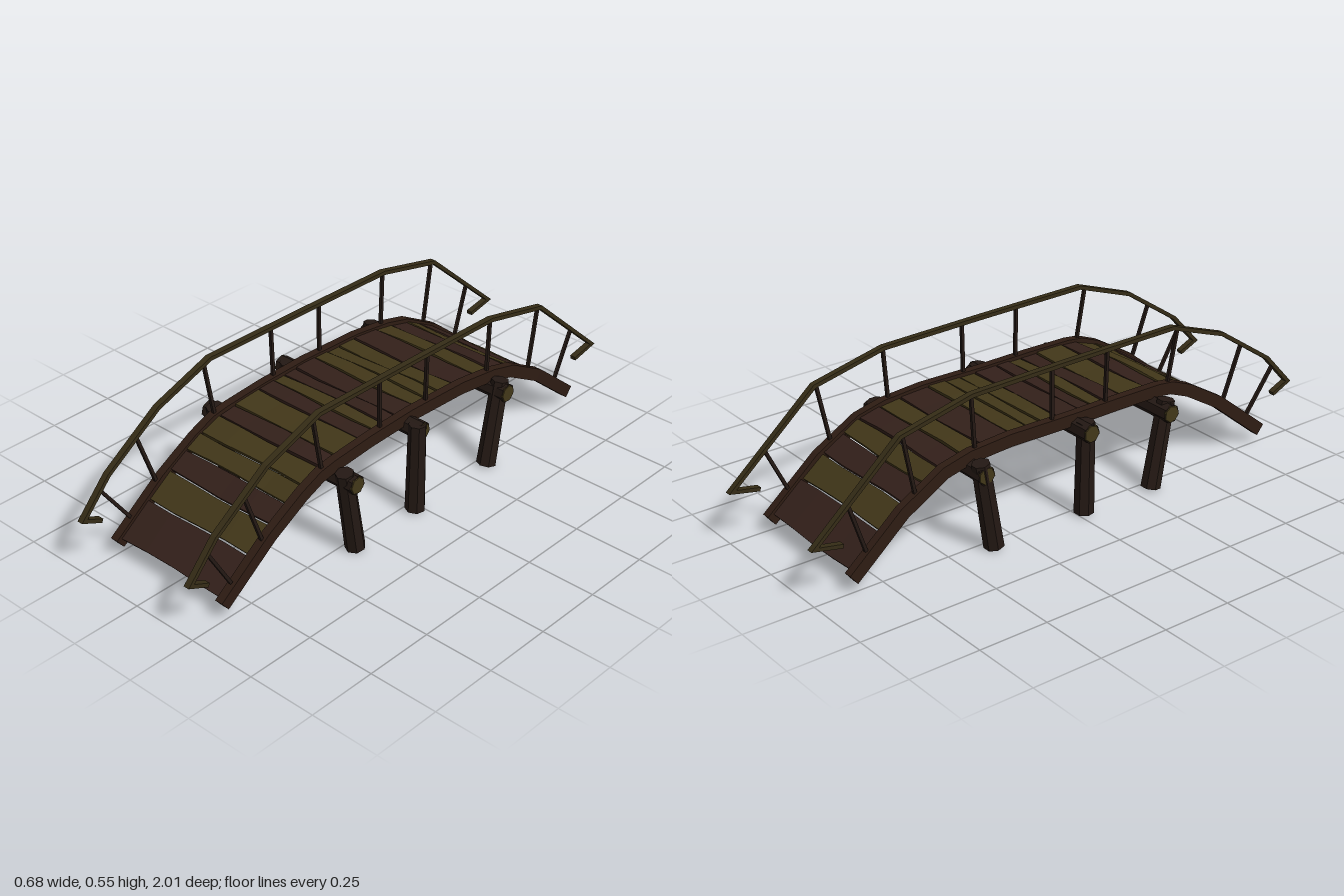
import * as THREE from 'three';

const paint = (color) => new THREE.MeshStandardMaterial({ color, flatShading: true, roughness: 1 });
const BROWN = paint(0x33201a), OLIVE = paint(0x423719), DARK = paint(0x241914), RAIL = paint(0x352c16), BEAM = paint(0x2e1c13);

// arch of the deck as [z, y], front end to back end
const ARCH = [[0.86, 0.045], [0.66, 0.205], [0.52, 0.288], [0.44, 0.32], [0.38, 0.328], [0.2, 0.334], [0, 0.335],
  [-0.25, 0.333], [-0.4, 0.318], [-0.5, 0.293], [-0.66, 0.205], [-0.86, 0.045]];
const HANDRAIL = [[0.92, 0.16], [0.99, 0.192], [0.88, 0.31], [0.66, 0.457], [0.43, 0.538], [0, 0.534],
  [-0.4, 0.527], [-0.67, 0.466], [-0.99, 0.188], [-0.89, 0.168]];
// balusters as [top z, top y, bottom z, bottom y]
const BALUSTERS = [[0.915, 0.27, 0.81, 0.11], [0.755, 0.393, 0.69, 0.2], [0.455, 0.53, 0.43, 0.34], [0.15, 0.535, 0.145, 0.345],
  [-0.08, 0.533, -0.08, 0.345], [-0.4, 0.525, -0.38, 0.335], [-0.66, 0.465, -0.61, 0.25], [-0.865, 0.3, -0.79, 0.12]];

const sway = (z) => -0.008 * Math.cos(2 * Math.PI * z);

function archY(z) {
  for (let i = 1; i < ARCH.length; i++) {
    const [za, ya] = ARCH[i - 1], [zb, yb] = ARCH[i];
    if (z >= zb || i === ARCH.length - 1) return ya + (yb - ya) * (z - za) / (zb - za);
  }
}

function add(group, name, geometry, material) {
  const mesh = new THREE.Mesh(geometry, material);
  mesh.name = name;
  group.add(mesh);
  return mesh;
}

// rectangular bar swept along [z, y] points with mitred corners
function sweptBar(points, xAt, width, height) {
  const pos = [], index = [];
  const n = points.length;
  const dir = (i) => new THREE.Vector2(points[i + 1][0] - points[i][0], points[i + 1][1] - points[i][1]).normalize();
  points.forEach(([z, y], i) => {
    const a = dir(Math.max(i - 1, 0)), b = dir(Math.min(i, n - 2));
    const t = a.clone().add(b).normalize();
    const h = height / 2 / Math.max(t.dot(a), 0.5);
    const nz = t.y * h, ny = -t.x * h;
    const x = xAt(z), w = width / 2;
    pos.push(x - w, y - ny, z - nz, x + w, y - ny, z - nz, x + w, y + ny, z + nz, x - w, y + ny, z + nz);
    if (i === n - 1) return;
    for (let k = 0; k < 4; k++) {
      const p = i * 4 + k, q = i * 4 + (k + 1) % 4;
      index.push(p, p + 4, q, q, p + 4, q + 4);
    }
  });
  const e = (n - 1) * 4;
  index.push(0, 1, 2, 0, 2, 3, e, e + 2, e + 1, e, e + 3, e + 2);
  const g = new THREE.BufferGeometry();
  g.setAttribute('position', new THREE.Float32BufferAttribute(pos, 3));
  g.setIndex(index);
  g.computeVertexNormals();
  return g;
}

// straight member between two points
function strut(group, name, from, to, geometryFor, material) {
  const d = to.clone().sub(from);
  const mesh = add(group, name, geometryFor(d.length()), material);
  mesh.position.copy(from).addScaledVector(d, 0.5);
  mesh.quaternion.setFromUnitVectors(new THREE.Vector3(0, 1, 0), d.normalize());
  return mesh;
}

// plank with gently warped edges
function plankGeometry(length, seed) {
  const g = new THREE.BoxGeometry(0.462, 0.014, length, 4, 1, 1);
  const p = g.attributes.position;
  for (let i = 0; i < p.count; i++) {
    const x = p.getX(i), side = Math.sign(p.getZ(i));
    p.setZ(i, p.getZ(i) + 0.003 * Math.sin(x * 13 + seed * 2.1 + side));
    p.setY(i, p.getY(i) + 0.003 * Math.sin(x * 11 + seed * 1.7));
  }
  g.computeVertexNormals();
  return g;
}

export function createModel() {
  const bridge = new THREE.Group();
  bridge.name = 'footbridge';

  // deck planks
  const deck = new THREE.Group();
  deck.name = 'deck';
  bridge.add(deck);
  const edges = [-0.85, -0.73, -0.645, -0.565, -0.5, -0.42, -0.345, -0.23, -0.16, -0.105, -0.04,
    0.05, 0.105, 0.16, 0.23, 0.345, 0.42, 0.5, 0.565, 0.64, 0.73, 0.85];
  const tones = 'bobobobooobboboboobob';
  for (let i = 0; i < edges.length - 1; i++) {
    const z0 = edges[i], z1 = edges[i + 1], y0 = archY(z0), y1 = archY(z1), z = (z0 + z1) / 2;
    const plank = add(deck, 'plank', plankGeometry(Math.hypot(z1 - z0, y1 - y0) - 0.006, i), tones[i] === 'b' ? BROWN : OLIVE);
    plank.position.set(sway(z) * 0.7, (y0 + y1) / 2 + 0.004, z);
    plank.rotation.x = -Math.atan2(y1 - y0, z1 - z0);
  }

  // side beams, handrails and balusters
  for (const side of [-1, 1]) {
    const label = side > 0 ? 'left' : 'right';
    const beamX = (z) => side * 0.24 + sway(z);
    const railX = side > 0 ? 0.237 : -0.246;
    const lift = side > 0 ? 0 : 0.005;
    add(bridge, label + 'Beam', sweptBar(ARCH, beamX, 0.03, 0.044), BEAM);
    add(bridge, label + 'Handrail', sweptBar(HANDRAIL.map(([z, y]) => [z, y + lift]), () => railX, 0.022, 0.014), RAIL);
    BALUSTERS.forEach(([tz, ty, bz, by], i) => {
      const shift = i === 0 || i === 7 ? side * 0.012 : 0;
      strut(bridge, label + 'Baluster', new THREE.Vector3(beamX(bz), by, bz + shift), new THREE.Vector3(railX, ty + lift, tz),
        (l) => new THREE.BoxGeometry(0.011, l, 0.011), DARK);
    });
  }

  // log trestles: a crossbar on two posts
  const trestles = [
    { topZ: 0.372, footZ: 0.318, top: 0.315, barZ: 0.358, barY: 0.28, x0: -0.338, x1: 0.335 },
    { topZ: 0.025, footZ: 0.025, top: 0.335, barZ: 0.015, barY: 0.308, x0: -0.335, x1: 0.308 },
    { topZ: -0.4, footZ: -0.347, top: 0.315, barZ: -0.395, barY: 0.278, x0: -0.318, x1: 0.33 },
  ];
  for (const t of trestles) {
    const bar = strut(bridge, 'crossbar', new THREE.Vector3(t.x0, t.barY, t.barZ), new THREE.Vector3(t.x1, t.barY, t.barZ),
      (l) => new THREE.CylinderGeometry(0.033, 0.033, l, 7), DARK);
    bar.geometry.rotateY(0.2);
    for (const side of [-1, 1]) {
      strut(bridge, 'post', new THREE.Vector3(side * 0.288, 0.003, t.footZ), new THREE.Vector3(side * 0.292, t.top, t.topZ),
        (l) => new THREE.CylinderGeometry(0.031, 0.035, l, 7), DARK);
      // pale sawn end of the crossbar
      const cap = add(bridge, 'crossbarEnd', new THREE.CylinderGeometry(0.029, 0.033, 0.004, 7), OLIVE);
      cap.position.set(side > 0 ? t.x1 : t.x0, t.barY, t.barZ);
      cap.rotation.z = -side * Math.PI / 2;
    }
  }
  return bridge;
}
